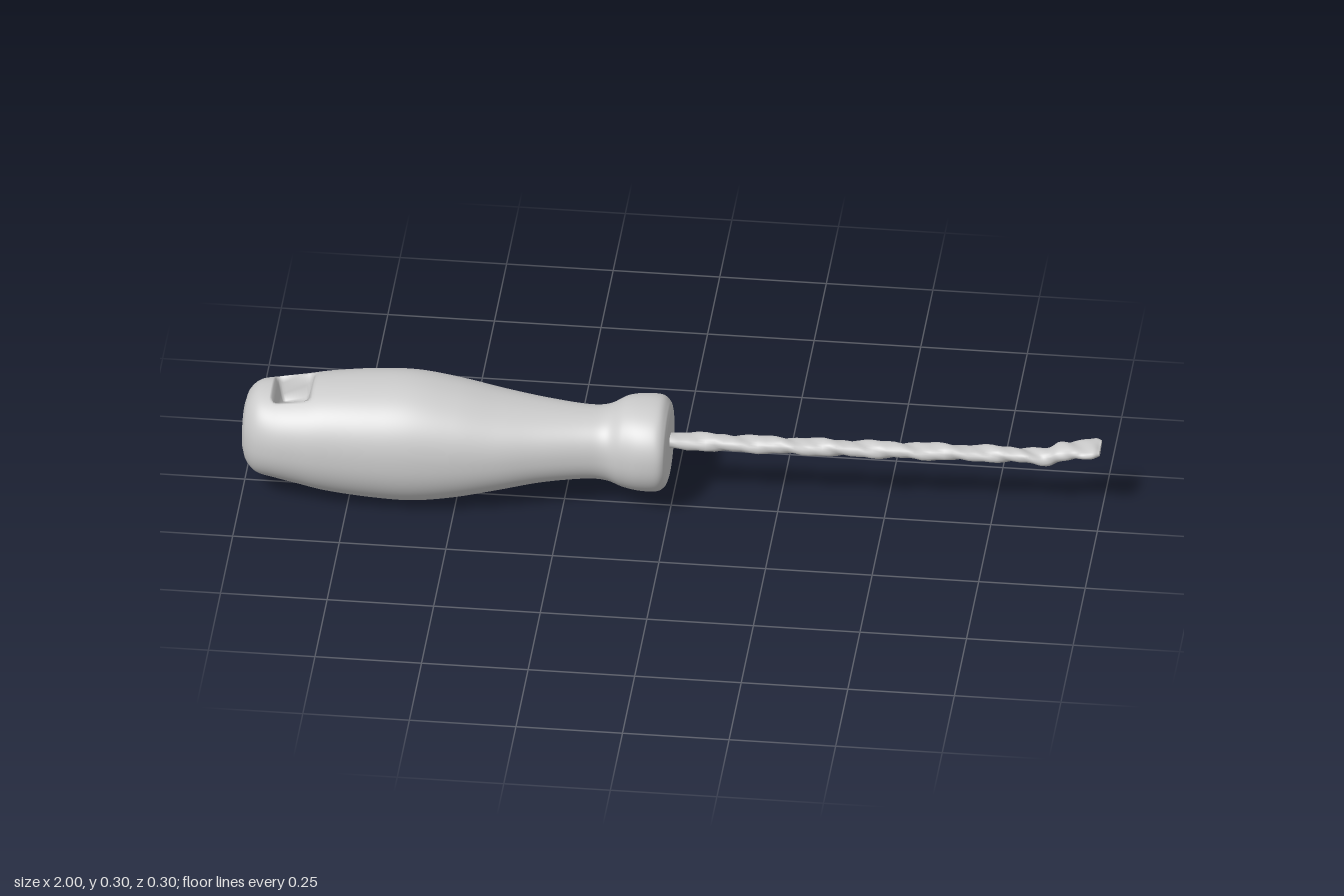
import * as THREE from 'three';

const material = new THREE.MeshStandardMaterial({ color: 0xcccccc, side: THREE.DoubleSide });

// Skin along x through stations [x, yLow, yHigh, zLow, zHigh]; warp(p) may move each vertex.
function loft(name, stations, { steps, sides, power, warp }) {
  const curve = (lo, hi) => new THREE.CatmullRomCurve3(
    stations.map((s) => new THREE.Vector3(s[0], s[lo], s[hi])), false, 'catmullrom', 0.5);
  const yCurve = curve(1, 2), zCurve = curve(3, 4);
  const count = (stations.length - 1) * steps;
  const rings = [];
  for (let i = 0; i <= count; i++) {
    const y = yCurve.getPoint(i / count), z = zCurve.getPoint(i / count);
    rings.push([y.x, (y.y + y.z) / 2, (y.z - y.y) / 2, (z.y + z.z) / 2, (z.z - z.y) / 2]);
  }
  // close both ends with shrinking rings
  const shrink = (r, k) => [r[0], r[1], r[2] * k, r[3], r[4] * k];
  const first = rings[0], last = rings[count];
  rings.unshift(shrink(first, 0), shrink(first, 0.5), shrink(first, 0.9));
  rings.push(shrink(last, 0.9), shrink(last, 0.5), shrink(last, 0));

  const positions = [], index = [], p = new THREE.Vector3();
  const bulge = (v) => Math.sign(v) * Math.abs(v) ** (2 / power);
  rings.forEach(([x, cy, ry, cz, rz], i) => {
    for (let j = 0; j < sides; j++) {
      const a = (j / sides) * Math.PI * 2;
      p.set(x, cy + ry * bulge(Math.sin(a)), cz + rz * bulge(Math.cos(a)));
      if (warp) warp(p, a);
      positions.push(p.x, p.y, p.z);
      if (i === rings.length - 1) continue;
      const k = (j + 1) % sides;
      const A = i * sides + j, B = A + sides, C = i * sides + k, D = C + sides;
      index.push(A, B, C, B, D, C);
    }
  });
  const geometry = new THREE.BufferGeometry();
  geometry.setAttribute('position', new THREE.Float32BufferAttribute(positions, 3));
  geometry.setIndex(index);
  geometry.computeVertexNormals();
  const mesh = new THREE.Mesh(geometry, material);
  mesh.name = name;
  return mesh;
}

// Hanging-hole recesses pressed into the top and bottom near the butt
function pressRecess(p) {
  const inside = (d, half) => 1 - THREE.MathUtils.smoothstep(Math.abs(d), half - 0.014, half + 0.006);
  const k = inside(p.x + 0.885, 0.042) * inside(p.z - 0.005, 0.055);
  const side = Math.sign(p.y - 0.155);
  if (Math.abs(p.y - 0.155) > 0.07) p.y -= side * k * (side > 0 ? 0.065 : 0.045);
}

// Slight wear along the blade
function roughen(p, a) {
  const w = 0.0025 * Math.sin(p.x * 47 + a * 2) + 0.0015 * Math.sin(p.x * 113 + a * 3);
  p.y += w * Math.sin(a);
  p.z += w * Math.cos(a);
}

export function createModel() {
  const group = new THREE.Group();
  group.name = 'screwdriver';

  // Handle with bulging grip, narrow neck and front collar
  group.add(loft('handle', [
    [-1.0, 0.1, 0.21, -0.05, 0.06],
    [-0.99, 0.072, 0.24, -0.075, 0.085],
    [-0.965, 0.05, 0.263, -0.097, 0.11],
    [-0.92, 0.043, 0.27, -0.112, 0.127],
    [-0.86, 0.031, 0.28, -0.122, 0.137],
    [-0.8, 0.018, 0.291, -0.131, 0.143],
    [-0.7, 0.006, 0.299, -0.146, 0.147],
    [-0.6, 0.002, 0.301, -0.149, 0.145],
    [-0.5, 0.015, 0.285, -0.144, 0.134],
    [-0.4, 0.037, 0.262, -0.134, 0.115],
    [-0.3, 0.058, 0.245, -0.119, 0.09],
    [-0.2, 0.067, 0.235, -0.107, 0.067],
    [-0.15, 0.062, 0.237, -0.115, 0.062],
    [-0.11, 0.048, 0.256, -0.135, 0.075],
    [-0.07, 0.043, 0.262, -0.145, 0.085],
    [-0.03, 0.045, 0.26, -0.146, 0.086],
    [-0.012, 0.058, 0.245, -0.136, 0.077],
    [-0.006, 0.072, 0.23, -0.12, 0.06],
  ], { steps: 9, sides: 112, power: 2.2, warp: pressRecess }));

  // Shaft drifting slightly to the back, ending in a flattened, upturned tip
  group.add(loft('shaft', [
    [-0.05, 0.138, 0.172, -0.064, -0.014],
    [0.2, 0.137, 0.17, -0.072, -0.024],
    [0.4, 0.136, 0.168, -0.08, -0.034],
    [0.6, 0.135, 0.166, -0.092, -0.044],
    [0.8, 0.134, 0.163, -0.102, -0.056],
    [0.87, 0.13, 0.162, -0.106, -0.06],
    [0.9, 0.138, 0.175, -0.116, -0.058],
    [0.94, 0.152, 0.182, -0.12, -0.052],
    [0.98, 0.163, 0.188, -0.12, -0.048],
    [0.998, 0.168, 0.184, -0.112, -0.056],
  ], { steps: 12, sides: 20, power: 2.3, warp: roughen }));

  return group;
}
